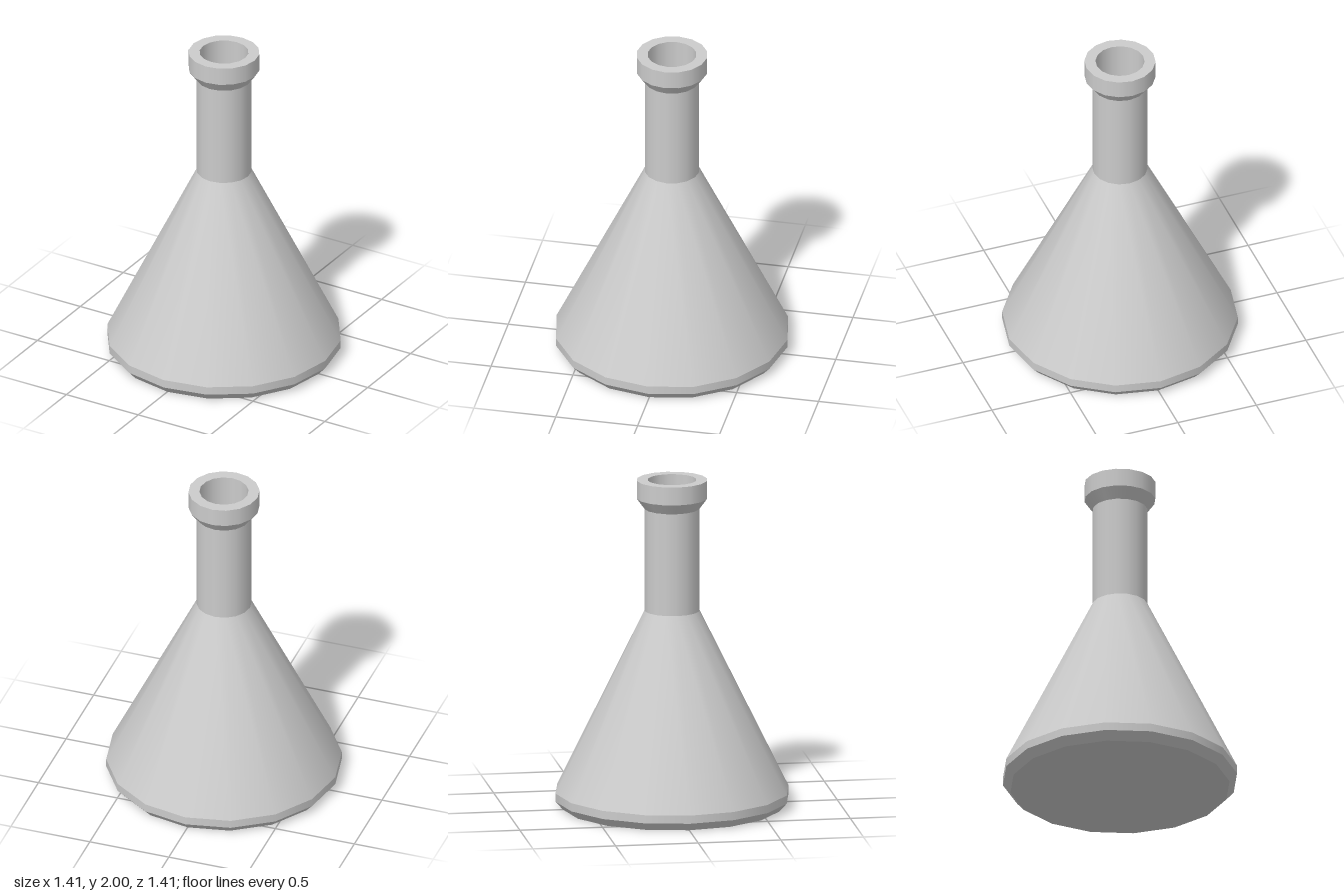
import * as THREE from 'three';
import { mergeGeometries } from 'three/addons/utils/BufferGeometryUtils.js';

const SIDES = 16;
const material = new THREE.MeshStandardMaterial({ color: 0xcccccc });

// Turns a profile of [radius, height] points: smooth around, sharp between bands
function turned(name, profile) {
  const bands = [];
  for (let i = 0; i < profile.length - 1; i++) {
    const pair = [profile[i], profile[i + 1]].map(([r, y]) => new THREE.Vector2(r, y));
    bands.push(new THREE.LatheGeometry(pair, SIDES));
  }
  const mesh = new THREE.Mesh(mergeGeometries(bands), material);
  mesh.name = name;
  return mesh;
}

export function createModel() {
  const flask = new THREE.Group();
  flask.name = 'conicalFlask';

  // Flat base with a bevelled edge, a short upright band and the cone
  flask.add(turned('body', [[0, 0], [0.66, 0], [0.705, 0.05], [0.705, 0.1], [0.165, 1.2]]));

  // Straight neck
  flask.add(turned('neck', [[0.165, 1.2], [0.165, 1.825]]));

  // Flared collar and flat lip around the mouth
  flask.add(turned('rim', [[0.165, 1.825], [0.213, 1.89], [0.213, 2], [0.147, 2]]));

  // Hollow inside, running from the mouth down to the floor
  flask.add(turned('interior', [[0.147, 2], [0.147, 1.19], [0.68, 0.1], [0.68, 0.06], [0.64, 0.02], [0, 0.02]]));

  return flask;
}
